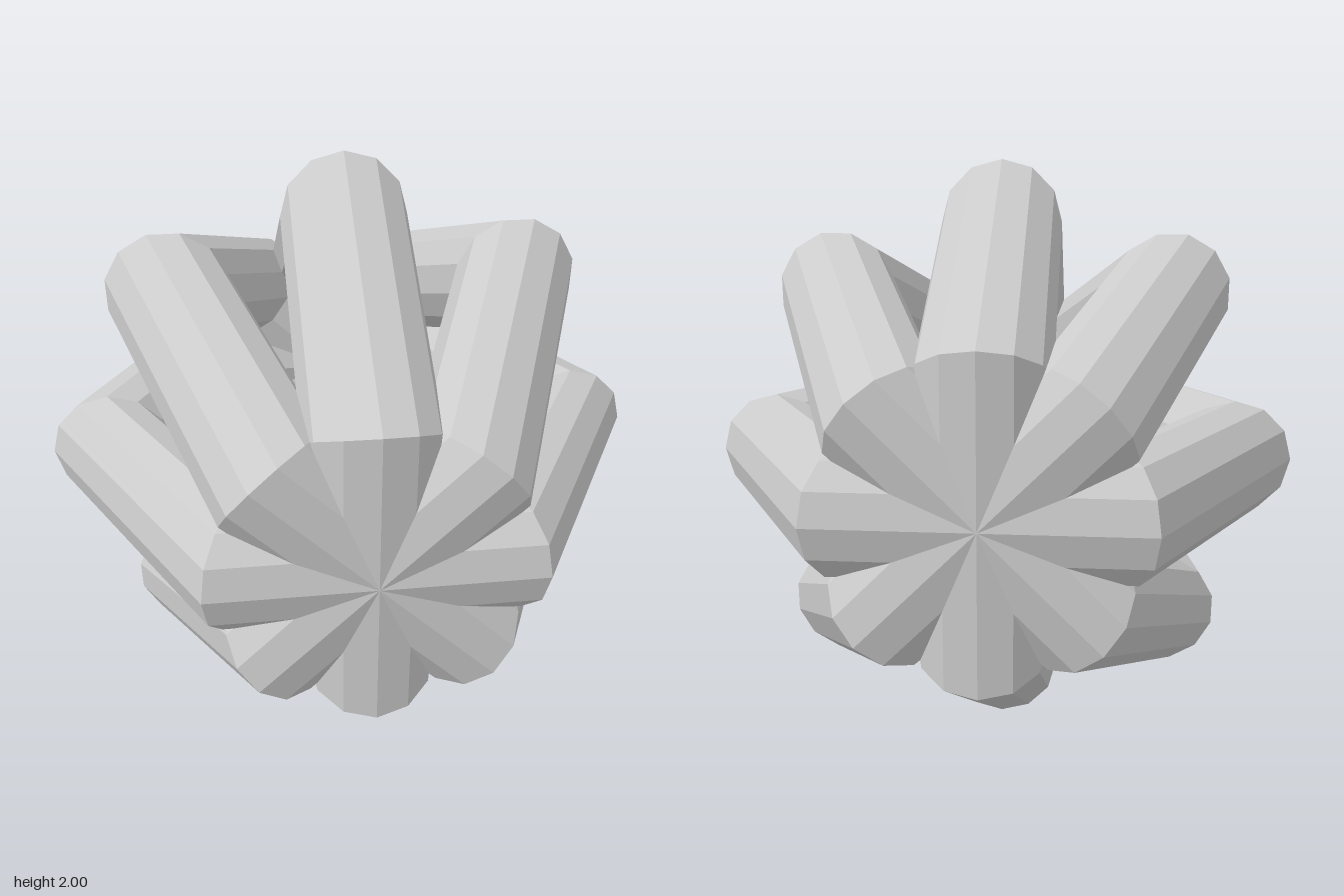
import * as THREE from 'three';

export function createModel() {
  const model = new THREE.Group();
  model.name = 'crossedRings';
  const material = new THREE.MeshStandardMaterial({ color: 0xcccccc, flatShading: true });

  // Hexagonal ring with a twelve-sided tube, laid flat so two of its sides face front and back
  const ringGeometry = new THREE.TorusGeometry(0.8, 0.2, 12, 6).rotateX(Math.PI / 2);

  // Four rings turned about the front-to-back axis, crossing at the front and back
  for (let i = 0; i < 4; i++) {
    const ring = new THREE.Mesh(ringGeometry, material);
    ring.name = `hexagonalRing${i + 1}`;
    ring.rotation.z = (i * Math.PI) / 4;
    ring.position.y = 1;
    model.add(ring);
  }
  return model;
}
